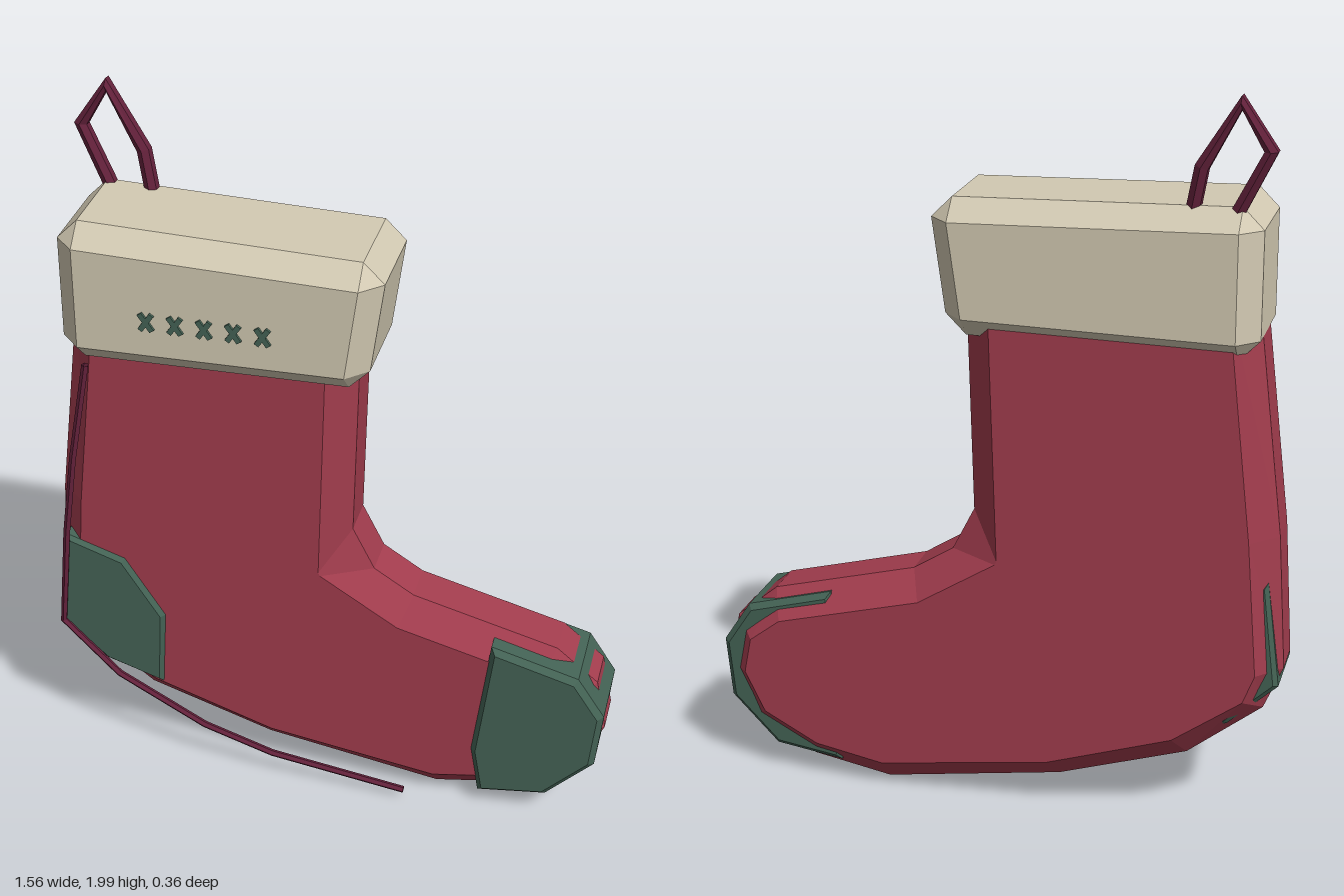
import * as THREE from 'three';
import { ConvexGeometry } from 'three/addons/geometries/ConvexGeometry.js';

const material = (name, color) => {
  const m = new THREE.MeshStandardMaterial({ color, flatShading: true, side: THREE.DoubleSide });
  m.name = name;
  return m;
};

const v2 = (list) => list.map(([x, y]) => new THREE.Vector2(x, y));

// Loft between layers [outline, z], all with the same corner count, listed back to front
function loft(layers) {
  const n = layers[0][0].length;
  const pos = [];
  const index = [];
  layers.forEach(([pts, z]) => pts.forEach(([x, y]) => pos.push(x, y, z)));
  for (let k = 0; k < layers.length - 1; k++) {
    for (let i = 0; i < n; i++) {
      const j = (i + 1) % n;
      const a = k * n + i, b = k * n + j;
      index.push(a, b, b + n, a, b + n, a + n);
    }
  }
  const last = (layers.length - 1) * n;
  THREE.ShapeUtils.triangulateShape(v2(layers[0][0]), []).forEach(([a, b, c]) => index.push(a, c, b));
  THREE.ShapeUtils.triangulateShape(v2(layers[layers.length - 1][0]), [])
    .forEach(([a, b, c]) => index.push(last + a, last + b, last + c));
  const g = new THREE.BufferGeometry();
  g.setAttribute('position', new THREE.Float32BufferAttribute(pos, 3));
  g.setIndex(index);
  const flat = g.toNonIndexed();
  flat.computeVertexNormals();
  return flat;
}

// Slab with a small bevel between two z values
function slab(points, z0, z1, bevel) {
  const g = new THREE.ExtrudeGeometry(new THREE.Shape(v2(points)), {
    depth: z1 - z0 - 2 * bevel, bevelEnabled: true, bevelSegments: 1,
    bevelSize: bevel, bevelThickness: bevel, bevelOffset: -bevel,
  });
  return g.translate(0, 0, z0 + bevel);
}

// Angular cord with one ring of corners at every path point
function cord(points, radius, sides) {
  const curve = new THREE.CatmullRomCurve3(points.map((p) => new THREE.Vector3(...p)));
  curve.getPointAt = (u, t) => curve.getPoint(u, t);
  curve.getTangentAt = (u, t) => curve.getTangent(u, t);
  return new THREE.TubeGeometry(curve, points.length - 1, radius, sides, false);
}

export function createModel() {
  const red = material('red knit', 0xa33d4e);
  const green = material('green patch', 0x446355);
  const cream = material('cream cuff', 0xd3cab3);
  const maroon = material('maroon cord', 0x65223c);

  const model = new THREE.Group();
  model.name = 'stocking';
  const add = (name, geometry, mat, parent = model) => {
    const mesh = new THREE.Mesh(geometry, mat);
    mesh.name = name;
    parent.add(mesh);
    return mesh;
  };

  // Sock body: each row is [rim x, rim y, face x, face y]
  const profile = [
    [-0.675, 1.5, -0.61, 1.5], [-0.755, 0.85, -0.685, 0.85], [-0.78, 0.48, -0.715, 0.48],
    [-0.73, 0.36, -0.685, 0.4], [-0.53, 0.2, -0.5, 0.265], [-0.18, 0.085, -0.16, 0.15],
    [0.31, 0.005, 0.31, 0.08], [0.53, 0.045, 0.5, 0.115], [0.71, 0.14, 0.65, 0.195],
    [0.775, 0.3, 0.705, 0.31], [0.745, 0.45, 0.685, 0.41], [0.63, 0.545, 0.6, 0.475],
    [0.23, 0.65, 0.2, 0.58], [0.12, 0.72, -0.015, 0.715], [0.06, 0.84, -0.02, 0.725],
    [0.08, 1.5, 0.005, 1.5],
  ];
  const rim = profile.map((p) => [p[0], p[1]]);
  const face = profile.map((p) => [p[2], p[3]]);
  add('sockBody', loft([[face, -0.155], [rim, -0.083], [rim, 0.033], [face, 0.098]]), red);

  // Toe and heel patches wrap the rim, leaving the body showing between them
  add('toePatch', slab([
    [0.46, 0.565], [0.415, 0.2], [0.44, 0.053], [0.63, 0.08], [0.76, 0.215],
    [0.776, 0.385], [0.7, 0.5],
  ], -0.13, 0.112, 0.016), green);
  add('heelPatch', slab([
    [-0.735, 0.73], [-0.772, 0.44], [-0.64, 0.315], [-0.475, 0.262], [-0.46, 0.5], [-0.57, 0.675],
  ], -0.125, 0.11, 0.012), green);

  // Cuff: chamfered block, three points for each of its eight corners
  const c = 0.055;
  const corners = [];
  [[-0.69, 1.325, 1, 1], [0.122, 1.335, -1, 1], [0.157, 1.695, -1, -1], [-0.688, 1.716, 1, -1]]
    .forEach(([x, y, sx, sy]) => {
      [[-0.18, 1], [0.17, -1]].forEach(([z, sz]) => {
        corners.push(
          new THREE.Vector3(x, y + sy * c, z + sz * c),
          new THREE.Vector3(x + sx * c, y, z + sz * c),
          new THREE.Vector3(x + sx * c, y + sy * c, z),
        );
      });
    });
  add('cuff', new ConvexGeometry(corners), cream);

  // Row of cross stitches on the cuff
  const stitches = new THREE.Group();
  stitches.name = 'crossStitches';
  model.add(stitches);
  for (let i = 0; i < 5; i++) {
    for (const s of [-1, 1]) {
      const bar = add('stitchBar', new THREE.BoxGeometry(0.014, 0.056, 0.009), green, stitches);
      bar.position.set(-0.444 + i * 0.076, 1.482, 0.1725);
      bar.rotation.z = s * 0.6;
    }
  }

  // Seam cord down the back of the leg and along the sole
  add('seamCord', cord([
    [-0.635, 1.3, 0.122], [-0.69, 1.0, 0.122], [-0.725, 0.75, 0.12], [-0.757, 0.44, 0.115],
    [-0.6, 0.28, 0.118], [-0.35, 0.145, 0.122], [-0.15, 0.085, 0.127], [0.235, 0.035, 0.132],
  ], 0.01, 5), maroon);

  // Hanging loop
  add('hangingLoop', cord([
    [-0.61, 1.68, -0.115], [-0.7, 1.86, -0.14], [-0.625, 1.975, -0.138],
    [-0.53, 1.81, -0.125], [-0.505, 1.68, -0.11],
  ], 0.02, 6), maroon);

  return model;
}
